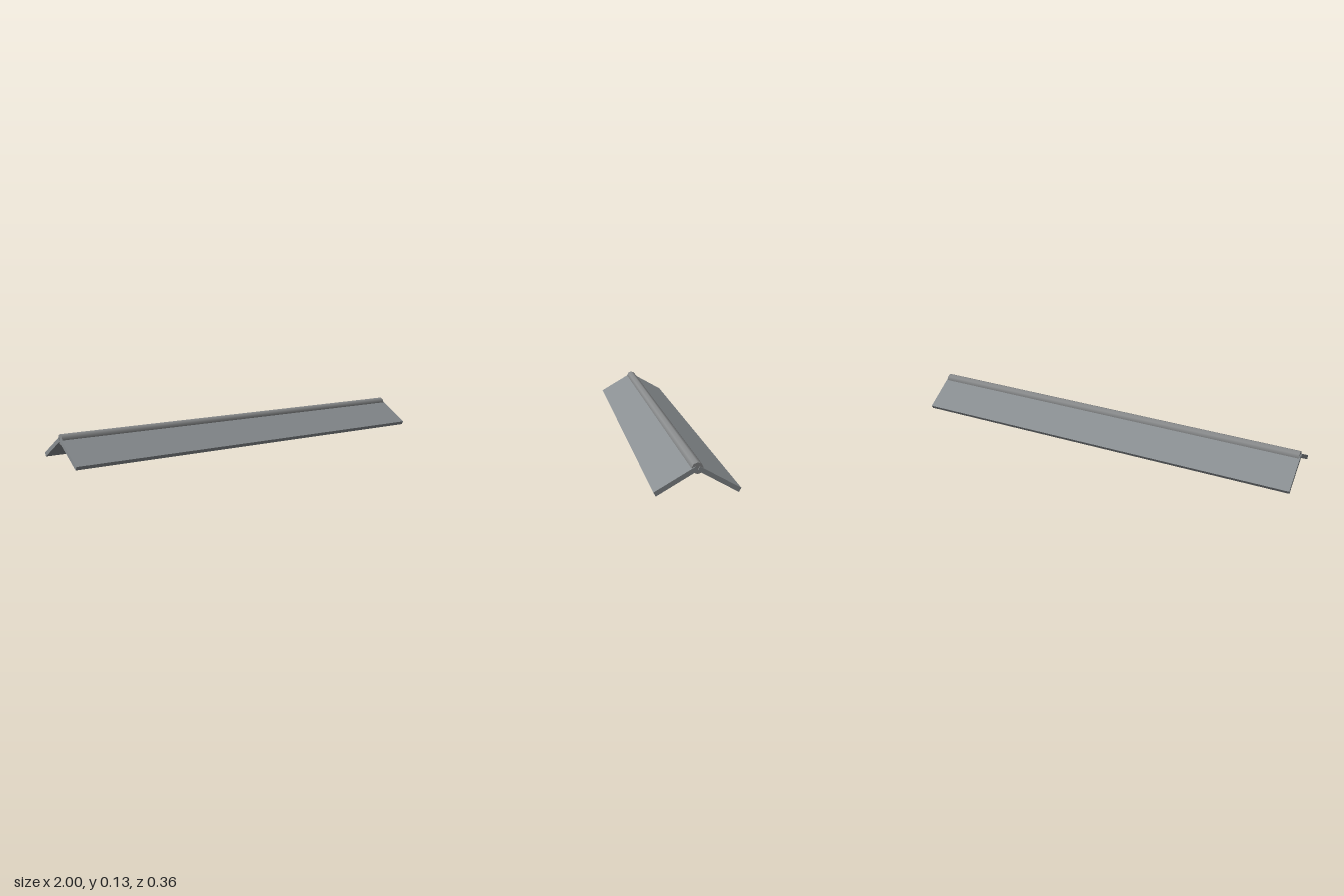
import * as THREE from 'three';

export function createModel() {
  const model = new THREE.Group();
  model.name = 'roofRidge';

  const panelMetal = new THREE.MeshStandardMaterial({ color: 0x8a8f92 });
  panelMetal.name = 'panel grey';
  const capMetal = new THREE.MeshStandardMaterial({ color: 0x8a8c8d });
  capMetal.name = 'ridge grey';

  // Two sloping panels, mirrored front to back, meeting under the ridge
  const slope = Math.PI / 6;
  for (const side of [1, -1]) {
    const panel = new THREE.Mesh(new THREE.BoxGeometry(2, 0.02, 0.2), panelMetal);
    panel.name = side > 0 ? 'frontPanel' : 'backPanel';
    panel.position.set(0, 0.059, side * 0.0906);
    panel.rotation.x = side * slope;
    model.add(panel);
  }

  // Eight-sided ridge bar with smooth sides, slightly shorter than the panels
  const bar = new THREE.CylinderGeometry(0.025, 0.025, 1.99, 8);
  bar.rotateZ(Math.PI / 2);
  const ridge = new THREE.Mesh(bar, capMetal);
  ridge.name = 'ridgeBar';
  ridge.position.y = 0.109;
  model.add(ridge);

  return model;
}
